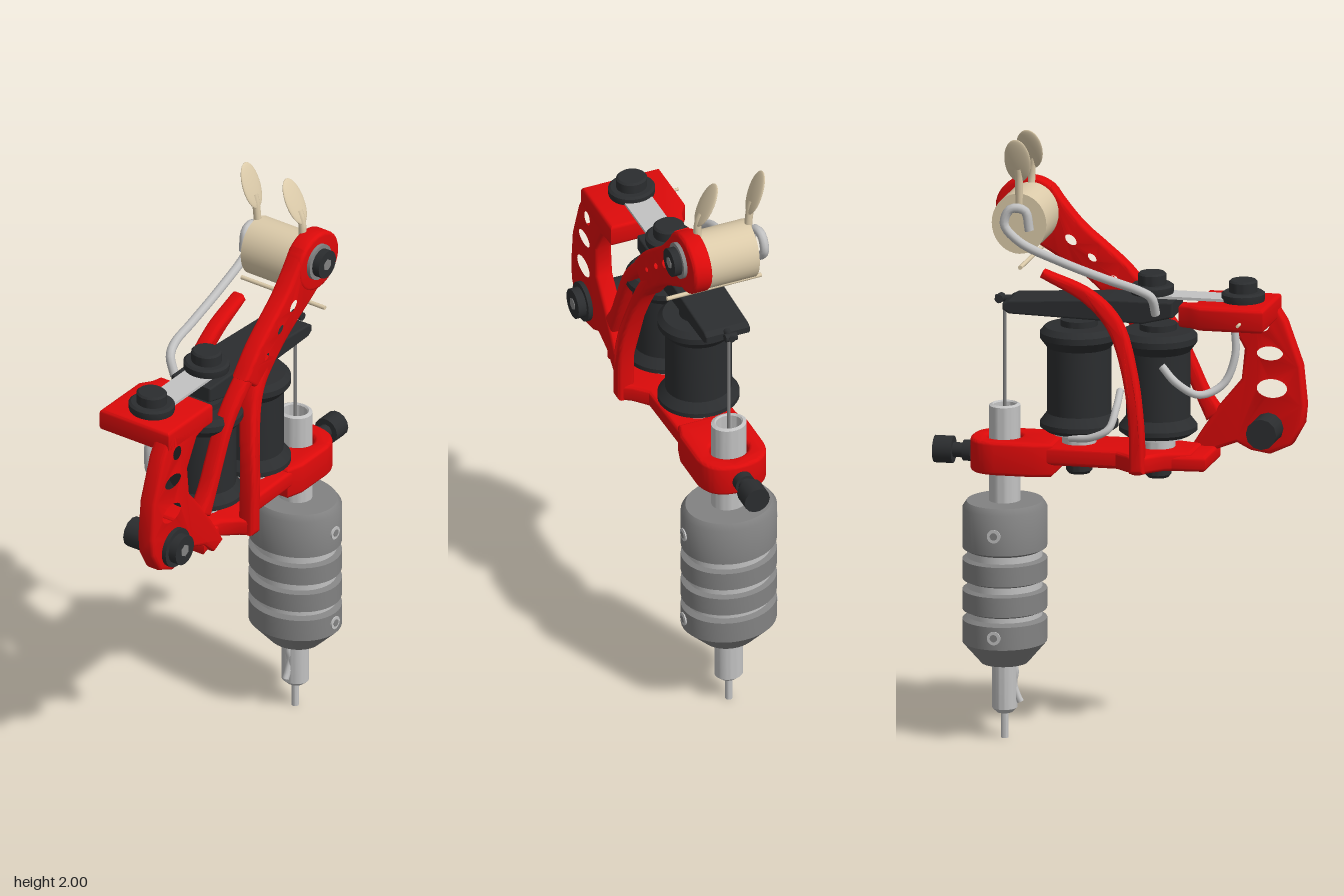
import * as THREE from 'three';
import { toCreasedNormals } from 'three/addons/utils/BufferGeometryUtils.js';

const mat = (name, color) => Object.assign(new THREE.MeshStandardMaterial({ color }), { name });

export function createModel() {
  const red = mat('redFrame', 0xdd0a0a), black = mat('blackParts', 0x2b2d2f);
  const steel = mat('lightSteel', 0xc2c2c2), grey = mat('darkSteel', 0x828282);
  const beige = mat('beigeClamp', 0xdccbaa);
  steel.side = THREE.DoubleSide;
  const model = new THREE.Group();

  const add = (name, geo, material, x = 0, y = 0, z = 0) => {
    const m = new THREE.Mesh(geo, material);
    m.name = name;
    m.position.set(x, y, z);
    model.add(m);
    return m;
  };
  const v2 = (a) => a.map(([x, y]) => new THREE.Vector2(x, y));
  // Turned part about a vertical axis, profile given as [radius, y]
  const turned = (name, profile, material, x, zScale = 1) => {
    const g = toCreasedNormals(new THREE.LatheGeometry(v2(profile), 40), 0.6);
    return add(name, g.scale(1, 1, zScale), material, x);
  };
  // Disc or rod along z between z0 and z1
  const rodZ = (name, r, z0, z1, material, x, y, seg = 28) =>
    add(name, new THREE.CylinderGeometry(r, r, Math.abs(z1 - z0), seg).rotateX(Math.PI / 2), material, x, y, (z0 + z1) / 2);
  const wire = (name, pts, r, material) => {
    const c = new THREE.CatmullRomCurve3(pts.map((p) => new THREE.Vector3(...p)));
    return add(name, new THREE.TubeGeometry(c, 60, r, 10), material);
  };
  // Bevelled plate; its outline is extruded by depth in total
  const slab = (shape, depth, b = 0.012) => new THREE.ExtrudeGeometry(shape, {
    depth: depth - 2 * b, bevelSize: b, bevelThickness: b, bevelOffset: -b, bevelSegments: 3, curveSegments: 20,
  }).translate(0, 0, b);
  const plate = (name, shape, z0, z1, rule) => {
    const g = slab(shape, z1 - z0).translate(0, 0, z0);
    if (rule) {
      const p = g.attributes.position;
      for (let i = 0; i < p.count; i++) p.setZ(i, p.getZ(i) + rule(p.getY(i)));
      g.computeVertexNormals();
    }
    return add(name, toCreasedNormals(g, 0.7), red);
  };
  // Horizontal plate from an outline in x and z
  const deck = (name, shape, y0, y1) =>
    add(name, toCreasedNormals(slab(shape, y1 - y0).rotateX(Math.PI / 2), 0.7), red, 0, y1, 0);
  const ellipse = (x, y, rx, ry, turn = 0) => new THREE.Path().absellipse(x, y, rx, ry, 0, Math.PI * 2, true, turn);
  // Ribbon outline around a centre line of [x, y, width]
  const ribbon = (pts) => {
    const c = new THREE.CatmullRomCurve3(pts.map((p) => new THREE.Vector3(...p)));
    const a = [], b = [], n = 28;
    for (let i = 0; i <= n; i++) {
      const p = c.getPoint(i / n), t = c.getTangent(i / n);
      const k = p.z / 2 / Math.hypot(t.x, t.y);
      a.push(new THREE.Vector2(p.x - t.y * k, p.y + t.x * k));
      b.unshift(new THREE.Vector2(p.x + t.y * k, p.y - t.x * k));
    }
    return new THREE.Shape([...a, ...b]);
  };

  // Grip tube, open at the top, with dark bands
  turned('gripTube', [[0, 0.085], [0.025, 0.085], [0.04, 0.1], [0.04, 0.25], [0.12, 0.32], [0.12, 0.76],
    [0.05, 0.775], [0.05, 1.095], [0.04, 1.1], [0.036, 1.095], [0.036, 0.95], [0, 0.95]], steel, 0.37, 1.17);
  turned('gripCone', [[0.04, 0.25], [0.075, 0.25], [0.135, 0.32], [0.135, 0.395], [0.12, 0.405]], grey, 0.37, 1.17);
  for (const [a, b] of [[0.42, 0.5], [0.52, 0.6]]) {
    turned('gripBand', [[0.118, a], [0.135, a + 0.008], [0.135, b - 0.008], [0.118, b]], grey, 0.37, 1.17);
  }
  turned('gripTop', [[0.118, 0.62], [0.135, 0.63], [0.135, 0.762], [0.122, 0.782], [0.05, 0.782]], grey, 0.37, 1.17);
  for (const y of [0.36, 0.695]) for (const s of [1, -1]) {
    rodZ('setScrew', 0.022, s * 0.13, s * 0.161, steel, 0.37, y);
    rodZ('setScrewSocket', 0.012, s * 0.15, s * 0.163, grey, 0.37, y);
  }
  turned('needleTip', [[0, 0], [0.012, 0], [0.012, 0.09]], steel, 0.37);
  add('needleBar', new THREE.CylinderGeometry(0.006, 0.006, 0.52, 10), grey, 0.37, 1.19);
  wire('tubeClip', [[0.345, 0.26, 0], [0.335, 0.22, 0], [0.34, 0.18, 0], [0.328, 0.14, 0], [0.318, 0.12, 0]], 0.011, steel);

  // Base bar with flared feet, and the front tube holder
  const half = [[-0.26, 0.08], [-0.18, 0.105], [-0.14, 0.15], [-0.12, 0.188], [-0.09, 0.188], [-0.065, 0.15], [-0.02, 0.11], [0.24, 0.105]];
  deck('baseBar', new THREE.Shape(v2([...half, ...half.map(([x, z]) => [x, -z]).reverse()])), 0.925, 0.985);
  const holder = new THREE.Shape();
  holder.moveTo(0.19, -0.1).lineTo(0.25, -0.118).lineTo(0.38, -0.118);
  holder.quadraticCurveTo(0.478, -0.11, 0.478, 0).quadraticCurveTo(0.478, 0.11, 0.38, 0.118);
  holder.lineTo(0.25, 0.118).lineTo(0.19, 0.1).closePath();
  holder.holes.push(ellipse(0.37, 0, 0.055, 0.064));
  deck('tubeHolder', holder, 0.885, 0.995);

  // Thumb screw on the holder
  const screw = (name, r, x0, x1, seg) =>
    add(name, new THREE.CylinderGeometry(r, r, x1 - x0, seg).rotateZ(Math.PI / 2), black, (x0 + x1) / 2, 0.938);
  screw('thumbScrewShank', 0.024, 0.46, 0.545, 18);
  screw('thumbScrewCollar', 0.034, 0.478, 0.505, 18);
  screw('thumbScrewHead', 0.044, 0.538, 0.6, 14);

  // Rear side plate with cut-outs
  const rear = new THREE.Shape(v2([[-0.483, 1.475], [-0.277, 1.475], [-0.28, 1.41], [-0.35, 1.39], [-0.4, 1.3],
    [-0.39, 1.2], [-0.32, 1.115], [-0.265, 1.035], [-0.205, 0.94], [-0.255, 0.915], [-0.31, 0.965], [-0.375, 0.99],
    [-0.42, 0.967], [-0.483, 0.957], [-0.555, 0.99], [-0.594, 1.06], [-0.6, 1.12], [-0.587, 1.25], [-0.535, 1.395]]));
  rear.holes.push(ellipse(-0.462, 1.385, 0.034, 0.036), ellipse(-0.485, 1.29, 0.055, 0.035), ellipse(-0.492, 1.175, 0.062, 0.043));
  plate('rearPlate', rear, 0.075, 0.135);
  deck('rearShelf', new THREE.Shape(v2([[-0.51, -0.137], [-0.3, -0.137], [-0.262, -0.11], [-0.225, -0.1],
    [-0.225, -0.055], [-0.27, -0.05], [-0.27, 0.135], [-0.51, 0.135]])), 1.4, 1.477);
  deck('rearFoot', new THREE.Shape(v2([[-0.31, -0.09], [-0.18, -0.1], [-0.18, 0.1], [-0.31, 0.13]])), 0.925, 0.975);

  // Front arm, its two lower ribs, and the shorter back rib
  const arm = ribbon([[0.3, 1.735, 0.19], [0.235, 1.675, 0.16], [0.17, 1.622, 0.135], [0.1, 1.57, 0.125], [0.025, 1.505, 0.125], [-0.04, 1.43, 0.12]]);
  for (const [x, y, r] of [[0.17, 1.63, 0.034], [0.1, 1.575, 0.029], [0.025, 1.51, 0.026]]) arm.holes.push(ellipse(x, y, r, r * 0.75, 0.7));
  plate('frontArm', arm, 0.075, 0.138);
  const head = new THREE.Shape();
  head.absellipse(0.31, 1.728, 0.11, 0.1, 0, Math.PI * 2, false, 0);
  plate('armHead', head, 0.075, 0.14);
  const flare = (y) => 0.055 * THREE.MathUtils.smoothstep(1.5 - y, 0, 0.42);
  const rib = [[-0.02, 1.4, 0.05], [-0.075, 1.25, 0.046], [-0.1, 1.1, 0.046], [-0.105, 0.93, 0.05]];
  plate('frontRib', ribbon([[0.06, 1.49, 0.05], ...rib]), 0.078, 0.136, flare);
  plate('backRib', ribbon([[0.22, 1.56, 0.026], [0.07, 1.49, 0.045], ...rib]), -0.136, -0.085, (y) => -flare(y));
  plate('outerRib', ribbon([[0.0, 1.5, 0.05], [-0.08, 1.44, 0.045], [-0.16, 1.35, 0.042], [-0.215, 1.24, 0.042],
    [-0.26, 1.14, 0.045], [-0.3, 1.07, 0.06]]), 0.078, 0.135);

  // Two wound coils with posts and bottom screws
  for (const x of [-0.135, 0.125]) {
    turned('coil', [[0, 1.025], [0.105, 1.025], [0.126, 1.04], [0.126, 1.055], [0.103, 1.085], [0.103, 1.3],
      [0.126, 1.33], [0.126, 1.35], [0.11, 1.368], [0.06, 1.37], [0.06, 1.39], [0, 1.39]], black, x, 1.06);
    turned('coilPost', [[0.085, 1.03], [0.085, 1.015], [0.055, 1.012], [0.055, 0.975]], steel, x, 1.06);
    turned('coilScrew', [[0, 0.885], [0.034, 0.885], [0.042, 0.895], [0.042, 0.928], [0, 0.928]], black, x, 1.1);
  }

  // Moving bar, its nipple, the flat spring and the top screws
  const bar = new THREE.Shape(v2([[-0.2, 1.425], [-0.2, 1.475], [0.02, 1.475], [0.34, 1.455], [0.36, 1.445], [0.36, 1.425], [0.34, 1.412], [-0.1, 1.4]]));
  add('armatureBar', slab(bar, 0.155, 0.006).translate(0, 0, -0.08), black);
  add('barNipple', new THREE.CylinderGeometry(0.012, 0.012, 0.05, 12).rotateZ(Math.PI / 2), black, 0.375, 1.445);
  rodZ('needleEye', 0.014, -0.02, 0.02, black, 0.385, 1.445, 14);
  add('flatSpring', new THREE.BoxGeometry(0.32, 0.009, 0.095), steel, -0.26, 1.484);
  for (const [x, y] of [[-0.415, 1.478], [-0.115, 1.488]]) {
    turned('topScrew', [[0, 0], [0.068, 0], [0.07, 0.008], [0.07, 0.024], [0.062, 0.03], [0.046, 0.03], [0.046, 0.062], [0.04, 0.068], [0, 0.068]],
      black, x, 1.1).position.y = y;
  }

  // Beige clamp barrel with two leaning wings
  rodZ('clampBarrel', 0.09, -0.1, 0.075, beige, 0.3, 1.715, 36).scale.y = 1.1;
  rodZ('clampPin', 0.007, -0.15, 0.18, beige, 0.285, 1.582, 10);
  rodZ('sidePin', 0.005, -0.172, -0.13, beige, -0.435, 1.43, 8);
  for (const [z0, z1, z2] of [[0.068, 0.08, 0.014], [-0.095, -0.1, -0.148]]) {
    wire('wingStem', [[0.3, 1.76, z0], [0.3, 1.83, z1], [0.3, 1.87, z1 - 0.005], [0.3, 1.9, z1 + (z2 - z1) * 0.25]], 0.013, beige);
    const wing = add('wing', new THREE.SphereGeometry(1, 24, 14).scale(0.043, 0.08, 0.009), beige, 0.3, 1.927, z1 + (z2 - z1) * 0.47);
    wing.rotation.x = Math.atan2(z2 - z1, 0.13);
  }

  // Side screws
  const sideScrew = (name, x, y, r) => {
    rodZ(name, r, 0.13, 0.178, black, x, y);
    rodZ(name + 'Socket', r * 0.42, 0.17, 0.18, grey, x, y, 6);
  };
  rodZ('armWasher', 0.06, 0.13, 0.152, grey, 0.3, 1.735);
  sideScrew('armScrew', 0.3, 1.735, 0.047);
  rodZ('rearWasher', 0.066, 0.13, 0.15, black, -0.48, 1.045);
  sideScrew('rearScrew', -0.48, 1.045, 0.05);
  rodZ('rearNut', 0.05, -0.03, 0.08, black, -0.48, 1.045, 12);

  // Bent contact rod and the short connecting wires
  wire('contactRod', [[0.26, 1.7, -0.125], [0.275, 1.765, -0.128], [0.32, 1.77, -0.135], [0.34, 1.72, -0.138], [0.29, 1.665, -0.14],
    [0.15, 1.605, -0.14], [0, 1.555, -0.14], [-0.1, 1.525, -0.138], [-0.14, 1.5, -0.125], [-0.15, 1.44, -0.1]], 0.015, steel);
  wire('rearWire', [[-0.39, 1.41, -0.02], [-0.395, 1.3, -0.03], [-0.36, 1.21, -0.05], [-0.29, 1.18, -0.09], [-0.22, 1.22, -0.11], [-0.17, 1.27, -0.1]], 0.013, steel);
  wire('lowerWire', [[0.13, 1.02, -0.11], [0.06, 1.03, -0.135], [0.0, 1.06, -0.13], [-0.015, 1.12, -0.08], [-0.01, 1.16, 0]], 0.012, steel);
  return model;
}
